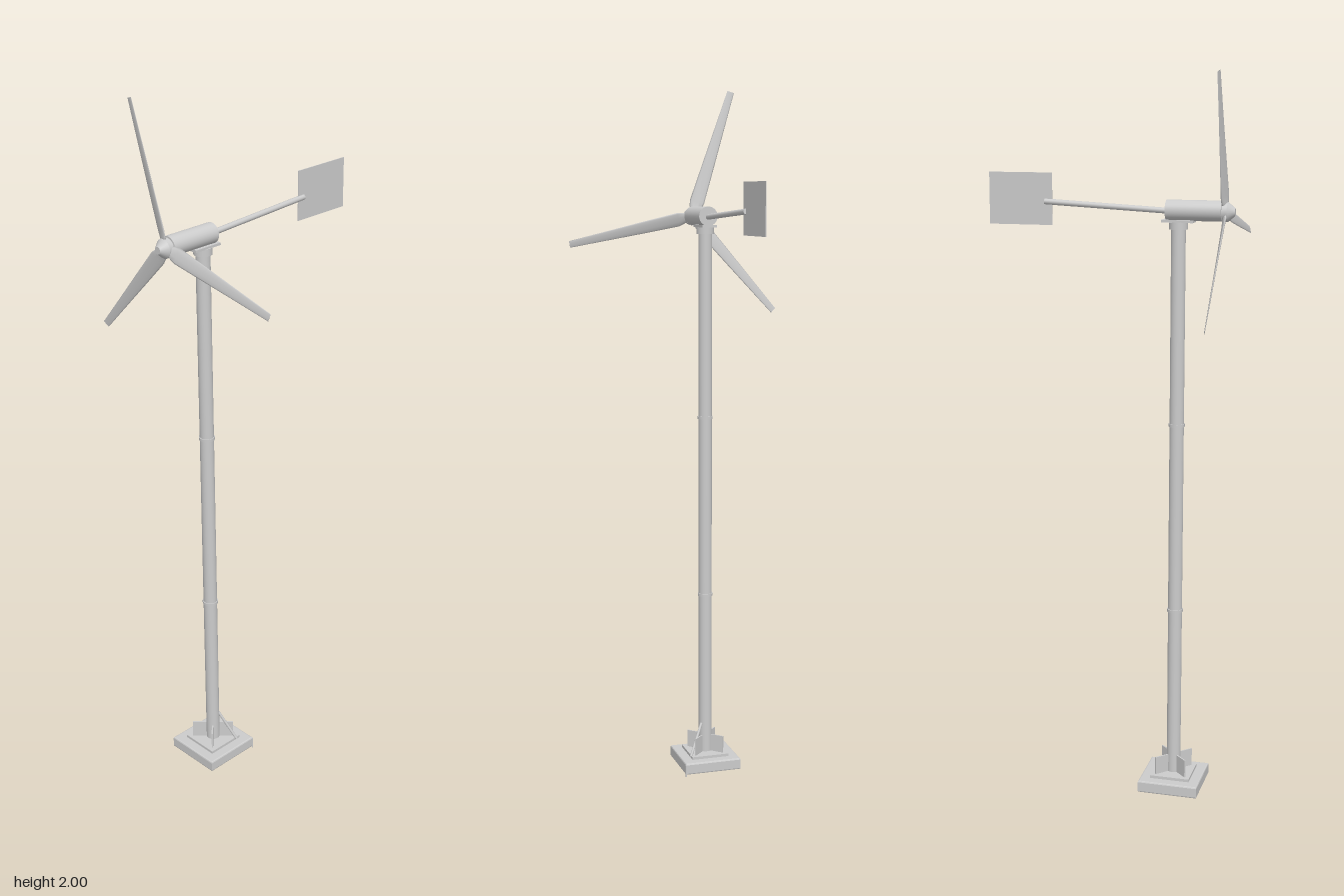
import * as THREE from 'three';

const CX = -0.056, CZ = 0.187, HUB_Y = 1.64;
const grey = new THREE.MeshStandardMaterial({ color: 0xcccccc, side: THREE.DoubleSide });

function add(parent, name, geometry, x = 0, y = 0, z = 0) {
  const mesh = new THREE.Mesh(geometry, grey);
  mesh.name = name;
  mesh.position.set(x, y, z);
  parent.add(mesh);
  return mesh;
}

// Round bar between two points
function bar(parent, name, a, b, r) {
  const from = new THREE.Vector3(...a), to = new THREE.Vector3(...b);
  const mesh = add(parent, name, new THREE.CylinderGeometry(r, r, from.distanceTo(to), 12));
  mesh.position.copy(from).lerp(to, 0.5);
  mesh.quaternion.setFromUnitVectors(new THREE.Vector3(0, 1, 0), to.sub(from).normalize());
  return mesh;
}

// Tapered, twisted blade along +x, lofted from thin lens sections
function bladeGeometry() {
  // radius, chord, thickness, pitch
  const stations = [
    [0.012, 0.018, 0.014, 0.40], [0.028, 0.036, 0.009, 0.38], [0.045, 0.043, 0.007, 0.34],
    [0.15, 0.036, 0.005, 0.29], [0.26, 0.028, 0.004, 0.25], [0.377, 0.02, 0.002, 0.22],
  ];
  const N = 10, pos = [], idx = [];
  for (const [r, chord, thick, pitch] of stations) {
    for (let i = 0; i < N; i++) {
      const a = (i / N) * Math.PI * 2;
      const u = Math.cos(a) * chord / 2, v = Math.sin(a) * thick / 2;
      pos.push(r, u * Math.cos(pitch) + v * Math.sin(pitch), v * Math.cos(pitch) - u * Math.sin(pitch));
    }
  }
  for (let s = 0; s < stations.length - 1; s++) {
    for (let i = 0; i < N; i++) {
      const a = s * N + i, b = s * N + (i + 1) % N;
      idx.push(a, b, a + N, b, b + N, a + N);
    }
  }
  const tip = (stations.length - 1) * N;
  for (let i = 1; i < N - 1; i++) idx.push(tip, tip + i, tip + i + 1, 0, i + 1, i);
  const g = new THREE.BufferGeometry();
  g.setAttribute('position', new THREE.Float32BufferAttribute(pos, 3));
  g.setIndex(idx);
  g.computeVertexNormals();
  return g;
}

export function createModel() {
  const model = new THREE.Group();
  model.name = 'windTurbine';

  // Foundation: bevelled slab and mounting plate
  const s = 0.081;
  const square = new THREE.Shape([[-s, -s], [s, -s], [s, s], [-s, s]].map(p => new THREE.Vector2(...p)));
  const slab = new THREE.ExtrudeGeometry(square, {
    depth: 0.026, bevelEnabled: true, bevelSize: 0.004, bevelThickness: 0.004, bevelSegments: 2,
  });
  slab.rotateX(-Math.PI / 2);
  add(model, 'baseSlab', slab, CX, 0.009, CZ);
  add(model, 'basePlate', new THREE.BoxGeometry(0.112, 0.008, 0.112), CX, 0.043, CZ);
  bar(model, 'groundPin', [0.028, 0, 0.103], [0.028, 0.036, 0.103], 0.002);

  // Diagonal gussets around the tower foot
  for (const angle of [Math.PI / 4, -Math.PI / 4]) {
    add(model, 'gusset', new THREE.BoxGeometry(0.121, 0.054, 0.004), CX, 0.071, CZ).rotation.y = angle;
  }
  bar(model, 'footStrut', [0.001, 0.044, 0.145], [-0.041, 0.135, 0.176], 0.004);

  // Tower with joint collars
  add(model, 'tower', new THREE.CylinderGeometry(0.0195, 0.0195, 1.55, 24), CX, 0.815, CZ);
  for (const y of [0.53, 1.06]) {
    add(model, 'towerCollar', new THREE.CylinderGeometry(0.022, 0.022, 0.008, 24), CX, y, CZ);
  }

  // Yaw bearing under the nacelle
  add(model, 'yawBearing', new THREE.CylinderGeometry(0.025, 0.025, 0.02, 24), CX, 1.6, CZ);
  add(model, 'yawPlate', new THREE.BoxGeometry(0.043, 0.007, 0.086), CX, 1.612, CZ);

  // Nacelle body
  const body = new THREE.CylinderGeometry(0.0275, 0.0275, 0.15, 28);
  body.rotateX(Math.PI / 2);
  add(model, 'nacelle', body, CX, HUB_Y, 0.23);

  // Rotor: hub, nose cone and three blades
  const rotor = new THREE.Group();
  rotor.name = 'rotor';
  rotor.position.set(CX, HUB_Y - 0.002, 0.313);
  model.add(rotor);
  const hub = new THREE.CylinderGeometry(0.026, 0.026, 0.014, 24);
  hub.rotateX(Math.PI / 2);
  add(rotor, 'hub', hub);
  const nose = new THREE.CylinderGeometry(0.01, 0.026, 0.019, 24);
  nose.rotateX(Math.PI / 2);
  add(rotor, 'noseCone', nose, 0, 0, 0.0165);
  const blade = bladeGeometry();
  for (let i = 0; i < 3; i++) {
    add(rotor, 'blade', blade).rotation.z = THREE.MathUtils.degToRad(108 + 120 * i);
  }

  // Tail boom and vane
  bar(model, 'tailBoom', [CX, 1.638, 0.16], [CX, 1.656, -0.183], 0.0078);
  add(model, 'tailVane', new THREE.BoxGeometry(0.002, 0.14, 0.178), CX, 1.663, -0.251);

  return model;
}
